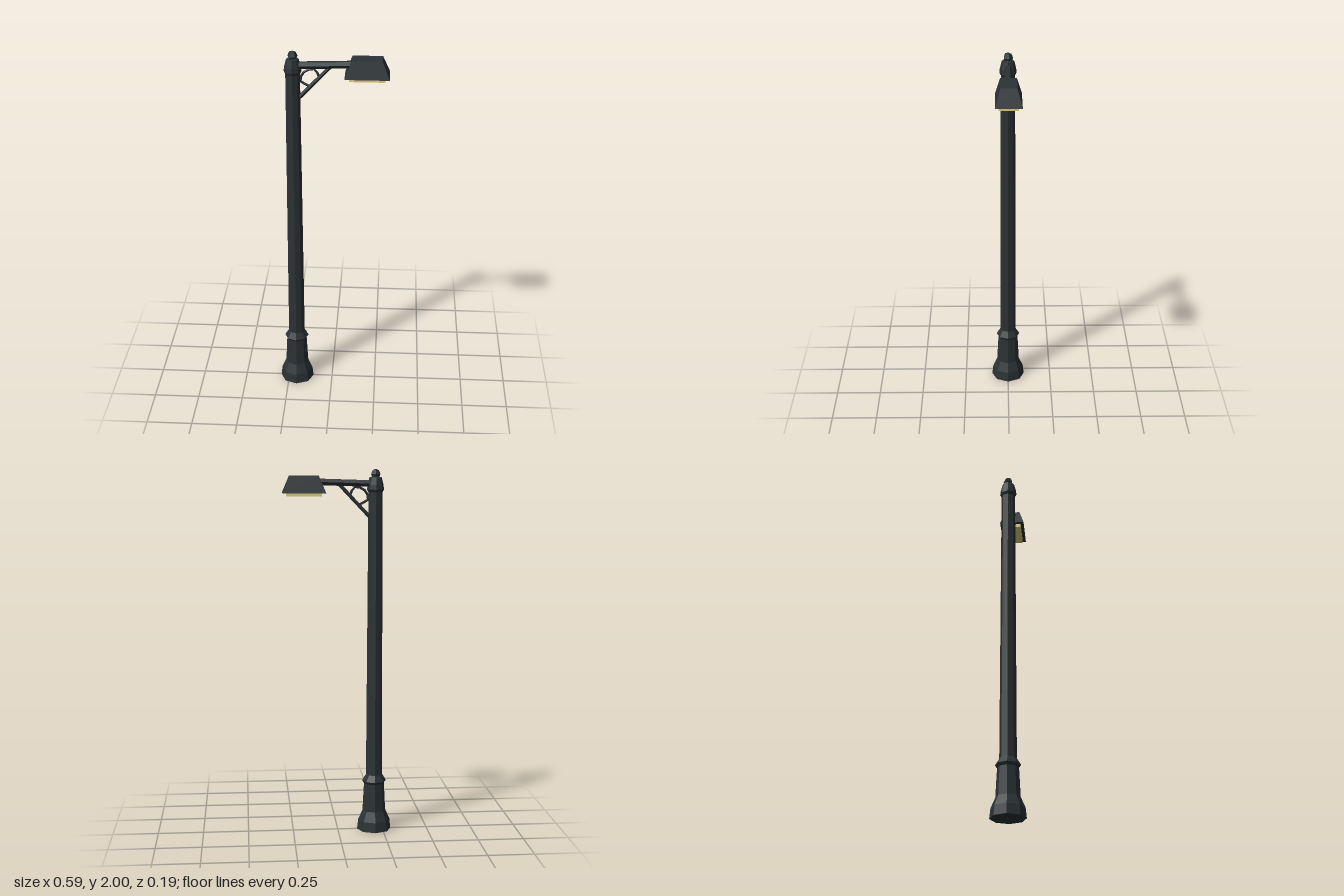
import * as THREE from 'three';

const POLE_X = -0.203;
const iron = new THREE.MeshStandardMaterial({ color: 0x2b3235, flatShading: true });
const glow = new THREE.MeshStandardMaterial({ color: 0xe6d584, flatShading: true });

function add(group, name, geometry, material = iron) {
  const mesh = new THREE.Mesh(geometry, material);
  mesh.name = name;
  group.add(mesh);
  return mesh;
}

function lathe(points, sides) {
  return new THREE.LatheGeometry(points.map(([r, y]) => new THREE.Vector2(r, y)), sides);
}

// Straight bar between two points of the z = 0 plane
function bar(group, name, [x0, y0], [x1, y1], radius, sides) {
  const length = Math.hypot(x1 - x0, y1 - y0);
  const mesh = add(group, name, new THREE.CylinderGeometry(radius, radius, length, sides));
  mesh.position.set((x0 + x1) / 2, (y0 + y1) / 2, 0);
  mesh.rotation.z = Math.atan2(y1 - y0, x1 - x0) - Math.PI / 2;
  return mesh;
}

// Box whose top face is shrunk
function taperedBox(w, h, d, topX, topZ) {
  const geometry = new THREE.BoxGeometry(w, h, d);
  const p = geometry.attributes.position;
  for (let i = 0; i < p.count; i++) {
    if (p.getY(i) > 0) p.setXYZ(i, p.getX(i) * topX, p.getY(i), p.getZ(i) * topZ);
  }
  geometry.computeVertexNormals();
  return geometry;
}

export function createModel() {
  const model = new THREE.Group();
  model.name = 'streetLamp';

  // Octagonal post: flared foot, plinth, collar, shaft and head
  const post = add(model, 'post', lathe([
    [0, 0], [0.094, 0], [0.088, 0.055], [0.064, 0.11], [0.056, 0.265],
    [0.067, 0.28], [0.048, 0.31], [0.045, 0.315], [0.038, 1.875],
    [0.046, 1.89], [0.043, 1.915], [0.033, 1.955], [0, 1.962],
  ], 8));
  post.position.x = POLE_X;

  // Five-sided knob on top
  const finial = add(model, 'finial', lathe([
    [0, 1.945], [0.018, 1.952], [0.027, 1.972], [0.018, 1.993], [0, 2],
  ], 5));
  finial.position.x = POLE_X;
  finial.rotation.y = Math.PI;

  // Arm and its diagonal brace
  bar(model, 'arm', [-0.2, 1.921], [0.098, 1.931], 0.02, 6);
  bar(model, 'brace', [-0.178, 1.738], [-0.008, 1.918], 0.011, 6);

  // Curved ornament in the bracket corner
  const curve = new THREE.CatmullRomCurve3([
    [-0.066, 1.858], [-0.088, 1.903], [-0.142, 1.889], [-0.164, 1.84], [-0.113, 1.809],
  ].map(([x, y]) => new THREE.Vector3(x, y, 0)));
  add(model, 'bracketScroll', new THREE.TubeGeometry(curve, 8, 0.007, 5));

  // Lamp hood with the light panel beneath
  const hood = add(model, 'lampHood', taperedBox(0.231, 0.092, 0.137, 0.67, 0.62));
  hood.position.set(0.1815, 1.919, 0);
  const panel = add(model, 'lightPanel', new THREE.BoxGeometry(0.187, 0.03, 0.1), glow);
  panel.position.set(0.1815, 1.87, 0);

  return model;
}
